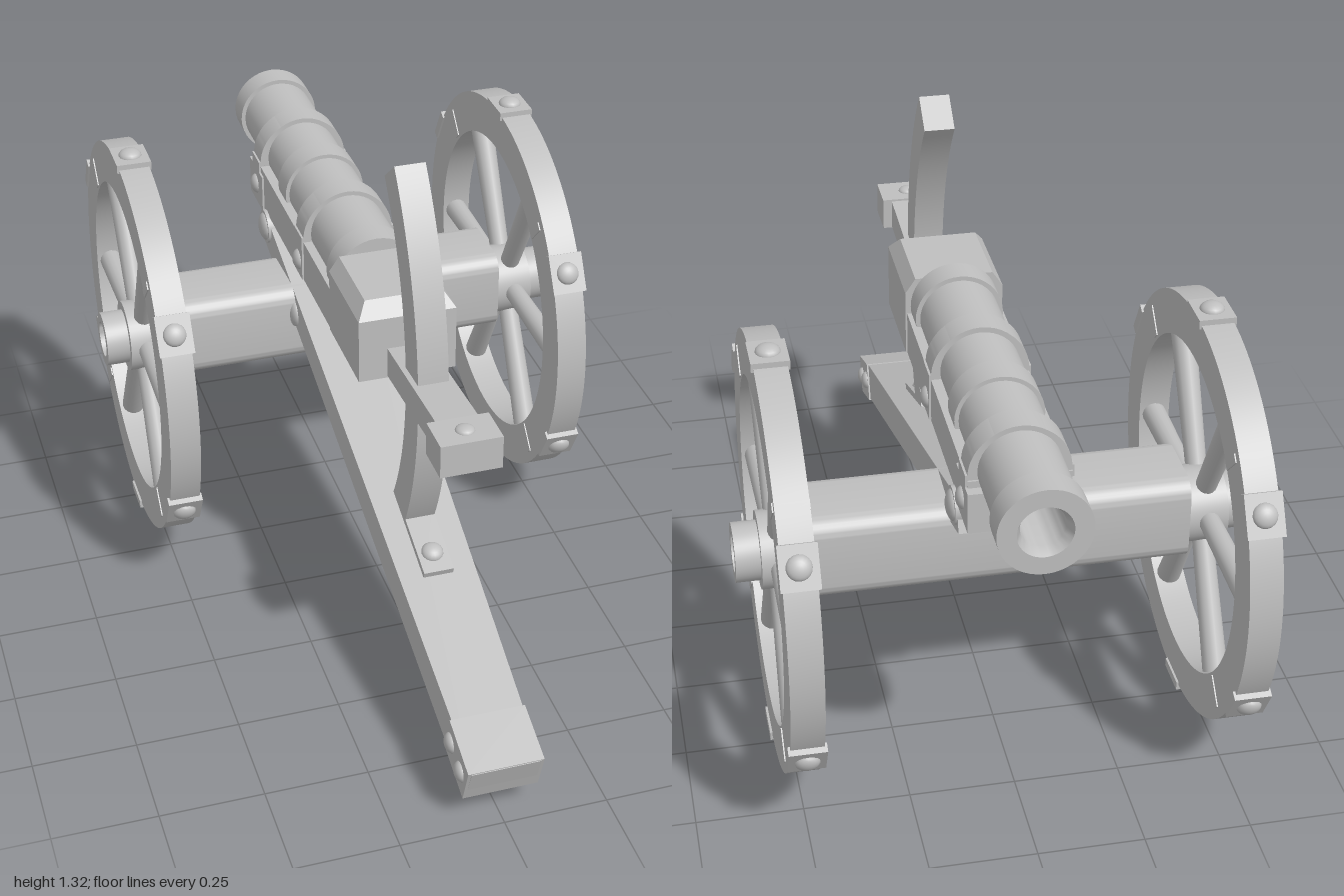
import * as THREE from 'three';
import { toCreasedNormals } from 'three/addons/utils/BufferGeometryUtils.js';
import { ConvexGeometry } from 'three/addons/geometries/ConvexGeometry.js';

const castGrey = new THREE.MeshStandardMaterial({ color: 0xbfbfbf });
castGrey.name = 'cast grey';

const WHEEL = { x: 0.504, y: 0.54, z: -0.462 };

function add(parent, name, geometry, x = 0, y = 0, z = 0) {
  const mesh = new THREE.Mesh(geometry, castGrey);
  mesh.name = name;
  mesh.position.set(x, y, z);
  parent.add(mesh);
  return mesh;
}

const box = (w, h, d) => new THREE.BoxGeometry(w, h, d);

// Side outline given as [z, y] points, extruded across the width
function sideExtrude(points, width) {
  const shape = new THREE.Shape(points.map(([z, y]) => new THREE.Vector2(-z, y)));
  return new THREE.ExtrudeGeometry(shape, { depth: width, bevelEnabled: false })
    .translate(0, 0, -width / 2).rotateY(Math.PI / 2);
}

// Lathe with sharp edges at steep steps
const turned = (pts, segs = 40) => toCreasedNormals(
  new THREE.LatheGeometry(pts.map(([r, h]) => new THREE.Vector2(r, h)), segs), 0.6);

// Domed rivet head pointing along a direction
function rivet(parent, x, y, z, dir, r = 0.027, height = 0.018) {
  const g = new THREE.SphereGeometry(r, 16, 6, 0, Math.PI * 2, 0, Math.PI / 2).scale(1, height / r, 1);
  const m = add(parent, 'rivet', g, x, y, z);
  m.quaternion.setFromUnitVectors(new THREE.Vector3(0, 1, 0), new THREE.Vector3(...dir).normalize());
}

// Wheel built around local z, +z facing outward
function makeWheel() {
  const wheel = new THREE.Group();
  const ring = new THREE.Shape().absarc(0, 0, 0.512, 0, Math.PI * 2);
  ring.holes.push(new THREE.Path().absarc(0, 0, 0.405, 0, Math.PI * 2, true));
  const rim = new THREE.ExtrudeGeometry(ring, { depth: 0.076, bevelEnabled: false, curveSegments: 64 });
  add(wheel, 'rim', toCreasedNormals(rim.translate(0, 0, -0.038), 0.6));

  for (let i = 0; i < 6; i++) {
    const spoke = new THREE.CylinderGeometry(0.03, 0.025, 0.36, 16).translate(0, 0.235, 0);
    add(wheel, 'spoke', spoke).rotation.z = i * Math.PI / 3 + Math.PI / 2;

    // Rim strap with its rivet, between the spokes
    const strap = new THREE.Group();
    strap.name = 'rimStrap';
    strap.rotation.z = i * Math.PI / 3;
    add(strap, 'strapPlate', box(0.1, 0.022, 0.087), 0, 0.512, 0);
    rivet(strap, 0, 0.522, 0, [0, 1, 0], 0.029);
    wheel.add(strap);
  }

  // Rim joint plates on both faces
  for (let i = 0; i < 4; i++) {
    const a = Math.PI / 4 + i * Math.PI / 2;
    for (const s of [1, -1]) {
      add(wheel, 'jointPlate', box(0.075, 0.022, 0.006),
        Math.cos(a) * 0.45, Math.sin(a) * 0.45, s * 0.038).rotation.z = a;
    }
  }

  // Hub with a recessed end
  const hub = turned([[0, -0.06], [0.092, -0.06], [0.092, 0.045], [0.07, 0.045],
    [0.07, 0.103], [0.046, 0.103], [0.046, 0.07], [0, 0.07]]);
  add(wheel, 'hub', hub.rotateX(Math.PI / 2));
  return wheel;
}

function makeCarriage() {
  const carriage = new THREE.Group();
  carriage.name = 'carriage';

  // Axle beam with rounded corners
  const h = 0.107, r = 0.045;
  const section = new THREE.Shape();
  section.absarc(h - r, h - r, r, 0, Math.PI / 2);
  section.absarc(r - h, h - r, r, Math.PI / 2, Math.PI);
  section.absarc(r - h, r - h, r, Math.PI, Math.PI * 1.5);
  section.absarc(h - r, r - h, r, Math.PI * 1.5, Math.PI * 2);
  const axle = new THREE.ExtrudeGeometry(section, { depth: 0.9, bevelEnabled: false, curveSegments: 8 });
  axle.translate(0, 0, -0.45).rotateY(Math.PI / 2);
  add(carriage, 'axleBeam', toCreasedNormals(axle, 0.6), 0, 0.555, WHEEL.z);

  // Trail, widening towards the gun
  const trail = sideExtrude([[1, 0.165], [0.965, 0.07], [-0.675, 0.672], [-0.645, 0.752]], 2);
  const p = trail.attributes.position;
  for (let i = 0; i < p.count; i++) {
    const t = (1 - p.getZ(i)) / 1.67;
    p.setX(i, p.getX(i) * (0.083 + 0.037 * t));
  }
  trail.computeVertexNormals();
  add(carriage, 'trail', trail);

  // Metal shoe on the trail end
  add(carriage, 'trailShoe', sideExtrude(
    [[0.999, 0.168], [0.965, 0.067], [0.83, 0.115], [0.865, 0.216]], 0.182));
  for (const s of [1, -1]) {
    rivet(carriage, s * 0.09, 0.132, 0.945, [s, 0, 0], 0.025, 0.016);
    rivet(carriage, s * 0.09, 0.158, 0.875, [s, 0, 0], 0.025, 0.016);
    rivet(carriage, s * 0.112, 0.59, -0.37, [s, 0, 0], 0.04);
    rivet(carriage, s * 0.122, 0.715, -0.62, [s, 0, 0], 0.038);
  }
  add(carriage, 'pivotPin', new THREE.CylinderGeometry(0.045, 0.045, 0.25, 24).rotateZ(Math.PI / 2), 0, 0.715, -0.62);

  // Curved elevating bar and its foot plate
  const arc = new THREE.Shape();
  const zc = 0.389, a0 = Math.PI - 0.69, a1 = Math.PI + 0.5;
  arc.absarc(zc, 0.785, 0.835, a0, a1, false);
  arc.absarc(zc, 0.785, 0.742, a1, a0, true);
  const bar = new THREE.ExtrudeGeometry(arc, { depth: 0.074, bevelEnabled: false, curveSegments: 32 });
  bar.translate(0, 0, -0.037).rotateY(Math.PI / 2);
  add(carriage, 'elevatingBar', toCreasedNormals(bar, 0.5));
  add(carriage, 'barFoot', box(0.074, 0.022, 0.18), 0, 0.378, 0.42).rotation.x = 0.345;
  rivet(carriage, 0, 0.376, 0.455, [0, 0.94, 0.34]);
  return carriage;
}

function makeGun() {
  const gun = new THREE.Group();
  gun.name = 'gun';

  // Barrel with reinforcing rings and a hollow muzzle
  const barrel = turned([[0, 0], [0.107, 0], [0.107, 0.07], [0.096, 0.07], [0.096, 0.25],
    [0.107, 0.25], [0.107, 0.32], [0.094, 0.32], [0.094, 0.465], [0.104, 0.465], [0.104, 0.54],
    [0.094, 0.54], [0.094, 0.68], [0.106, 0.68], [0.106, 0.75], [0.094, 0.75], [0.094, 0.93],
    [0.105, 0.93], [0.105, 1], [0.062, 1], [0.05, 0.975], [0.05, 0.7], [0, 0.7]]);
  add(gun, 'barrel', barrel.rotateX(-Math.PI / 2), 0, 0.882, 0);

  // Breech block with bevelled top and rear edges
  const pts = [];
  for (const s of [1, -1]) {
    pts.push([s * 0.12, 0.755, 0.25], [s * 0.12, 0.918, 0.25], [s * 0.095, 0.955, 0.215],
      [s * 0.12, 0.755, 0], [s * 0.12, 0.918, 0], [s * 0.095, 0.955, 0]);
  }
  add(gun, 'breechBlock', new ConvexGeometry(pts.map(q => new THREE.Vector3(...q))));

  // Cradle under the barrel
  add(gun, 'cradle', box(0.232, 0.11, 0.76), 0, 0.807, -0.375);
  add(gun, 'cradleNose', box(0.242, 0.1, 0.13), 0, 0.795, -0.715);

  // Clamps over the barrel
  for (const z of [-0.285, -0.715]) {
    const band = new THREE.Shape().absarc(0, 0, 0.116, 0, Math.PI);
    const clamp = new THREE.ExtrudeGeometry(band, { depth: 0.07, bevelEnabled: false, curveSegments: 24 });
    add(gun, 'clampBand', toCreasedNormals(clamp, 0.5), 0, 0.87, z - 0.035);
    for (const s of [1, -1]) {
      add(gun, 'clampPlate', box(0.016, 0.12, 0.07), s * 0.113, 0.815, z);
      rivet(gun, s * 0.118, 0.797, z, [s, 0, 0], 0.027);
    }
  }

  // Tiller handle
  add(gun, 'tiller', sideExtrude([[0.24, 0.835], [0.62, 0.86], [0.62, 0.785], [0.24, 0.76]], 0.1));
  add(gun, 'tillerEnd', box(0.146, 0.082, 0.1), 0, 0.824, 0.665);
  rivet(gun, 0, 0.864, 0.665, [0, 1, 0], 0.023, 0.012);
  rivet(gun, 0, 0.784, 0.665, [0, -1, 0], 0.023, 0.012);
  return gun;
}

export function createModel() {
  const model = new THREE.Group();
  model.name = 'fieldCannon';
  model.add(makeCarriage(), makeGun());
  for (const s of [1, -1]) {
    const wheel = makeWheel();
    wheel.name = s > 0 ? 'leftWheel' : 'rightWheel';
    wheel.position.set(s * WHEEL.x, WHEEL.y, WHEEL.z);
    wheel.rotation.y = s * Math.PI / 2;
    model.add(wheel);
  }
  return model;
}
